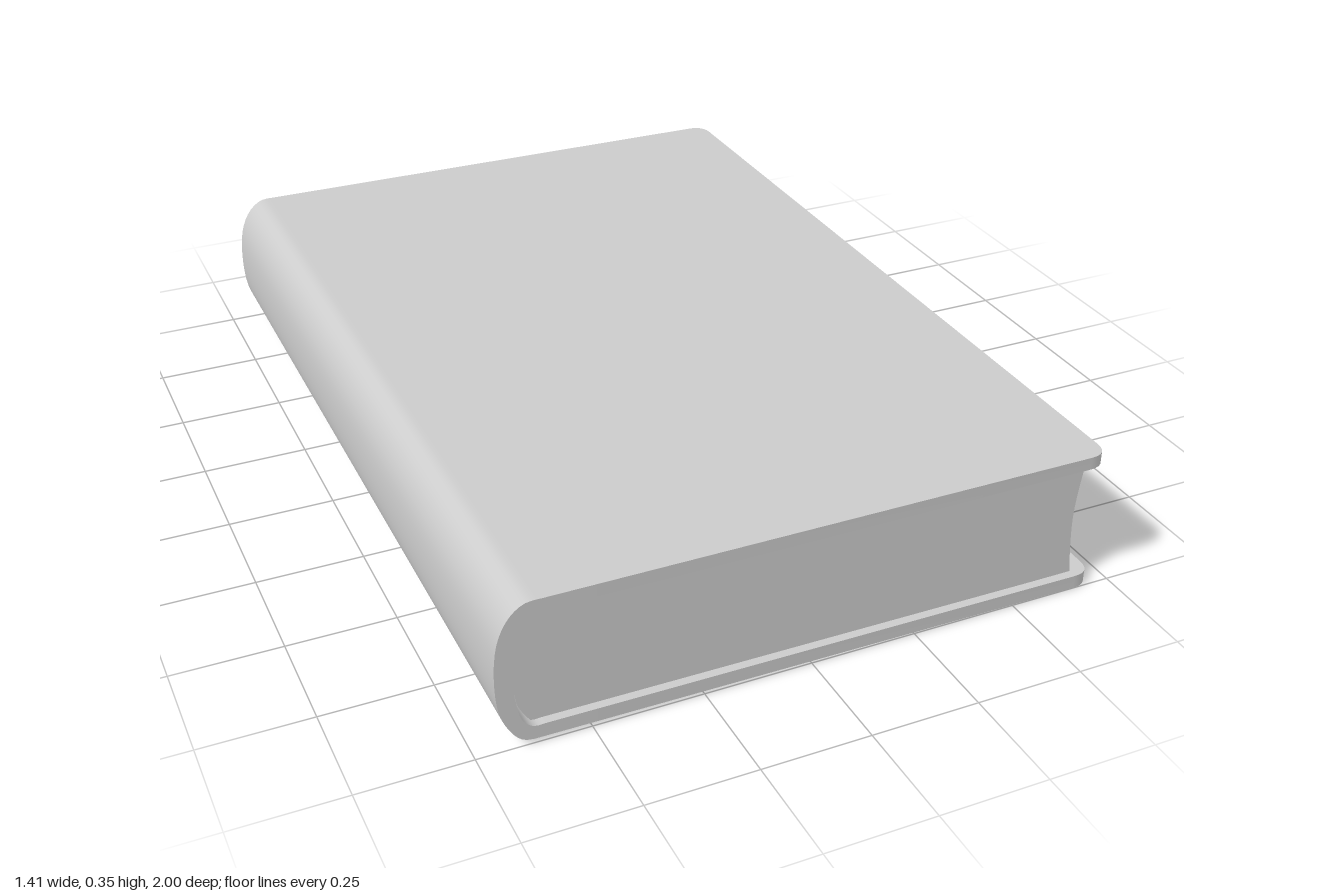
import * as THREE from 'three';
import { toCreasedNormals } from 'three/addons/utils/BufferGeometryUtils.js';

const material = new THREE.MeshStandardMaterial({ color: 0xcccccc, side: THREE.DoubleSide });
const HINGE = -0.6, EDGE = 0.705;

// Move every vertex by a rule, then smooth the gentle curves only
function part(name, geometry, rule) {
  const p = geometry.attributes.position, v = new THREE.Vector3();
  for (let i = 0; i < p.count; i++) {
    v.fromBufferAttribute(p, i);
    rule(v);
    p.setXYZ(i, v.x, v.y, v.z);
  }
  const mesh = new THREE.Mesh(toCreasedNormals(geometry, 0.6), material);
  mesh.name = name;
  return mesh;
}

const points = (list) => list.map(([x, y]) => new THREE.Vector2(x, y));

// Cover board with two rounded fore-edge corners, sinking slightly away from the spine
function board(name, y, thickness, sink) {
  const r = 0.045, s = new THREE.Shape();
  s.moveTo(HINGE, -1);
  s.lineTo(EDGE - r, -1);
  s.quadraticCurveTo(EDGE, -1, EDGE, -1 + r);
  s.lineTo(EDGE, 1 - r);
  s.quadraticCurveTo(EDGE, 1, EDGE - r, 1);
  s.lineTo(HINGE, 1);
  s.closePath();
  const g = new THREE.ExtrudeGeometry(s, { depth: thickness, bevelEnabled: false, curveSegments: 6 });
  g.rotateX(-Math.PI / 2);
  return part(name, g, (v) => { v.y += y - sink * (v.x - HINGE) / (EDGE - HINGE); });
}

// Rounded spine wrapping the left side
function spine() {
  const outer = points([[HINGE, 0.348], [-0.64, 0.345], [-0.675, 0.315], [-0.698, 0.26], [-0.705, 0.18],
    [-0.698, 0.1], [-0.675, 0.045], [-0.645, 0.014], [HINGE, 0.01]]);
  const inner = points([[HINGE, 0.042], [-0.63, 0.045], [-0.655, 0.08], [-0.668, 0.18],
    [-0.655, 0.28], [-0.63, 0.313], [HINGE, 0.318]]);
  const s = new THREE.Shape();
  s.moveTo(HINGE, 0.348);
  s.splineThru(outer.slice(1));
  s.lineTo(HINGE, 0.042);
  s.splineThru(inner.slice(1));
  s.closePath();
  const g = new THREE.ExtrudeGeometry(s, { depth: 2, bevelEnabled: false, curveSegments: 3 });
  return part('spine', g, (v) => { v.z -= 1; });
}

// Page block with a hollow fore-edge, a little wider at the back
function pages() {
  const s = new THREE.Shape();
  s.moveTo(-0.62, 0.035);
  s.lineTo(0.66, 0.033);
  s.splineThru(points([[0.652, 0.1], [0.648, 0.18], [0.653, 0.25], [0.662, 0.315]]));
  s.lineTo(-0.62, 0.322);
  s.splineThru(points([[-0.652, 0.27], [-0.662, 0.18], [-0.652, 0.09], [-0.62, 0.035]]));
  const g = new THREE.ExtrudeGeometry(s, { depth: 1.925, bevelEnabled: false, curveSegments: 3 });
  return part('pages', g, (v) => {
    v.z -= 0.945;
    if (v.x > 0.5) v.x += 0.006 * (1 - v.z);
  });
}

export function createModel() {
  const book = new THREE.Group();
  book.name = 'book';
  book.add(
    board('frontCover', 0.318, 0.03, 0.006),
    board('backCover', 0.01, 0.032, 0.01),
    spine(),
    pages()
  );
  return book;
}
